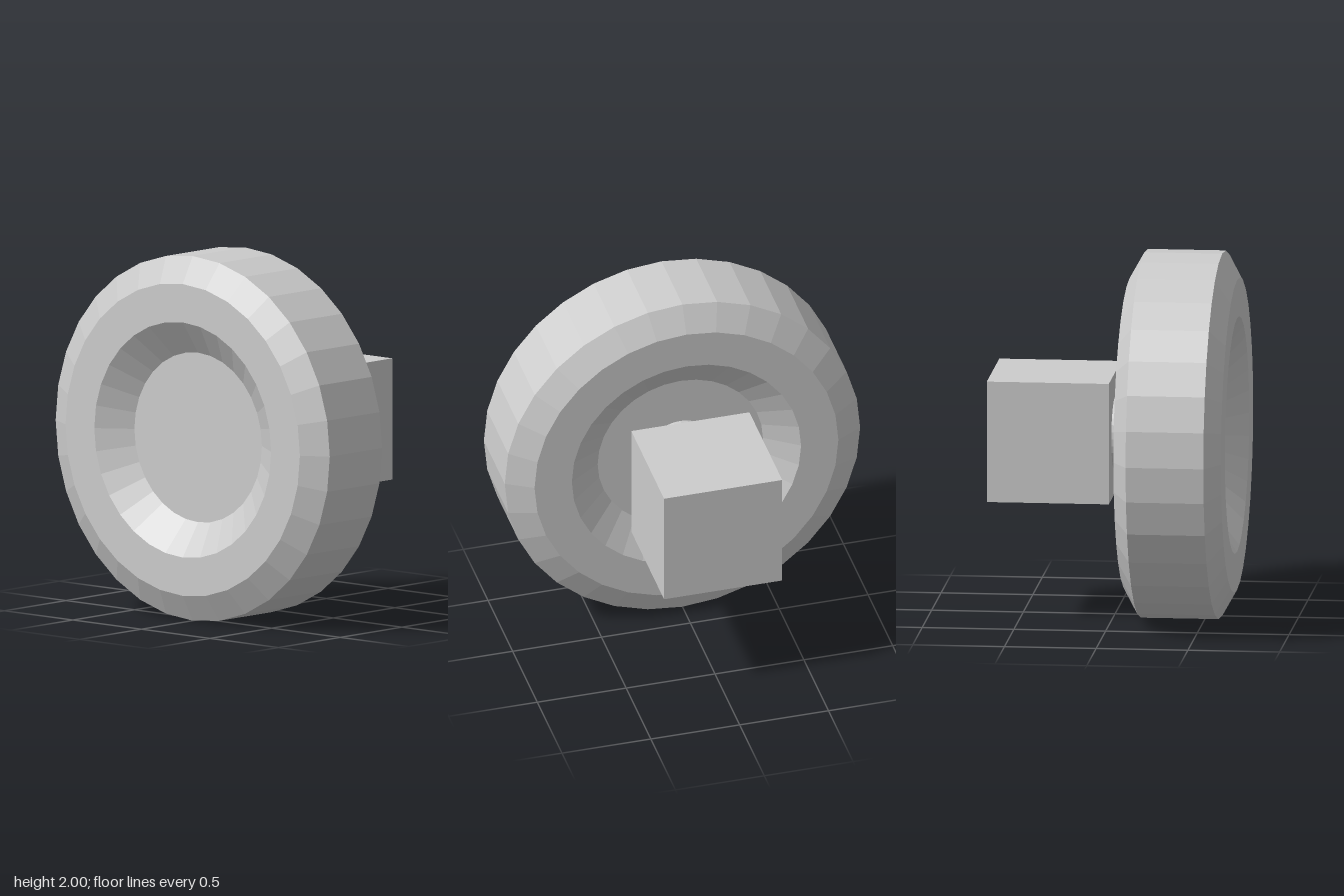
import * as THREE from 'three';

const SIDES = 32;

// Faceted normals for a low-poly look
function faceted(geometry) {
  const g = geometry.toNonIndexed();
  g.computeVertexNormals();
  return g;
}

export function createModel() {
  const group = new THREE.Group();
  group.name = 'wheelAndBlock';
  const grey = new THREE.MeshStandardMaterial({ color: 0xcccccc });
  grey.name = 'light grey';

  function add(name, geometry, x) {
    const mesh = new THREE.Mesh(geometry, grey);
    mesh.name = name;
    mesh.position.set(x, 1, 0);
    group.add(mesh);
    return mesh;
  }

  // Wheel: half profile as [radius, distance from mid-plane], mirrored to the other face
  const half = [[0, 0.168], [0.465, 0.168], [0.645, 0.293], [0.855, 0.293], [1, 0.212]];
  const profile = [
    ...half.map(([r, d]) => new THREE.Vector2(r, -d)),
    ...half.slice().reverse().map(([r, d]) => new THREE.Vector2(r, d)),
  ];
  const wheel = add('wheel', faceted(new THREE.LatheGeometry(profile, SIDES)), -0.372);
  wheel.rotation.z = -Math.PI / 2;

  // Axle from the hub recess to the block
  const axle = add('axle', faceted(new THREE.CylinderGeometry(0.2, 0.2, 0.23, SIDES)), -0.105);
  axle.rotation.z = -Math.PI / 2;

  // Mounting block
  add('block', new THREE.BoxGeometry(0.665, 0.665, 0.665), 0.3325);

  return group;
}
